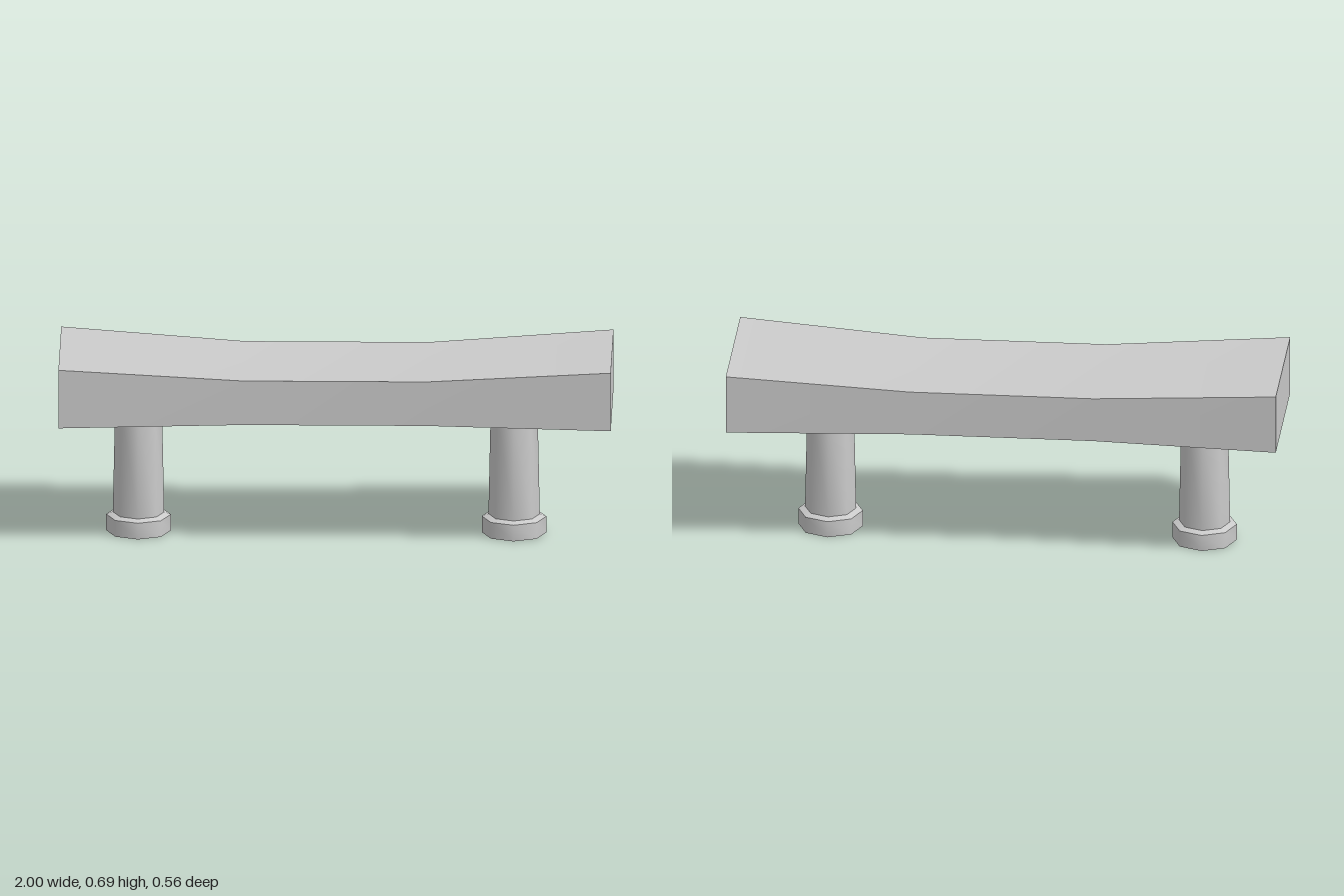
import * as THREE from 'three';
import { toCreasedNormals } from 'three/addons/utils/BufferGeometryUtils.js';

const material = new THREE.MeshStandardMaterial({ color: 0xcccccc });

// Slab seat: a box in three lengths, flared and raised toward both ends
function createSeat() {
  const geometry = new THREE.BoxGeometry(2, 1, 2, 3, 1, 1);
  const p = geometry.attributes.position;
  for (let i = 0; i < p.count; i++) {
    const end = Math.abs(p.getX(i)) > 0.9;
    const top = p.getY(i) > 0;
    p.setY(i, top ? (end ? 0.685 : 0.641) : (end ? 0.466 : 0.475));
    p.setZ(i, Math.sign(p.getZ(i)) * (end ? 0.279 : 0.254));
  }
  geometry.computeVertexNormals();
  const seat = new THREE.Mesh(geometry, material);
  seat.name = 'seat';
  return seat;
}

// Eight-sided turned part from [radius, height] pairs
function turned(name, profile) {
  const points = profile.map(([r, y]) => new THREE.Vector2(r, y));
  const geometry = toCreasedNormals(new THREE.LatheGeometry(points, 8), 0.9);
  const mesh = new THREE.Mesh(geometry, material);
  mesh.name = name;
  return mesh;
}

// Leg: chamfered foot, tapered shaft and a thin collar under the seat
function createLeg(name, x) {
  const leg = new THREE.Group();
  leg.name = name;
  leg.add(
    turned('foot', [[0, 0], [0.117, 0], [0.117, 0.061], [0.092, 0.07]]),
    turned('shaft', [[0.093, 0.07], [0.085, 0.459]]),
    turned('collar', [[0.085, 0.459], [0.097, 0.459], [0.097, 0.464], [0.088, 0.472], [0, 0.472]])
  );
  leg.position.x = x;
  return leg;
}

export function createModel() {
  const bench = new THREE.Group();
  bench.name = 'bench';
  bench.add(createSeat(), createLeg('rightLeg', -0.715), createLeg('leftLeg', 0.645));
  return bench;
}
